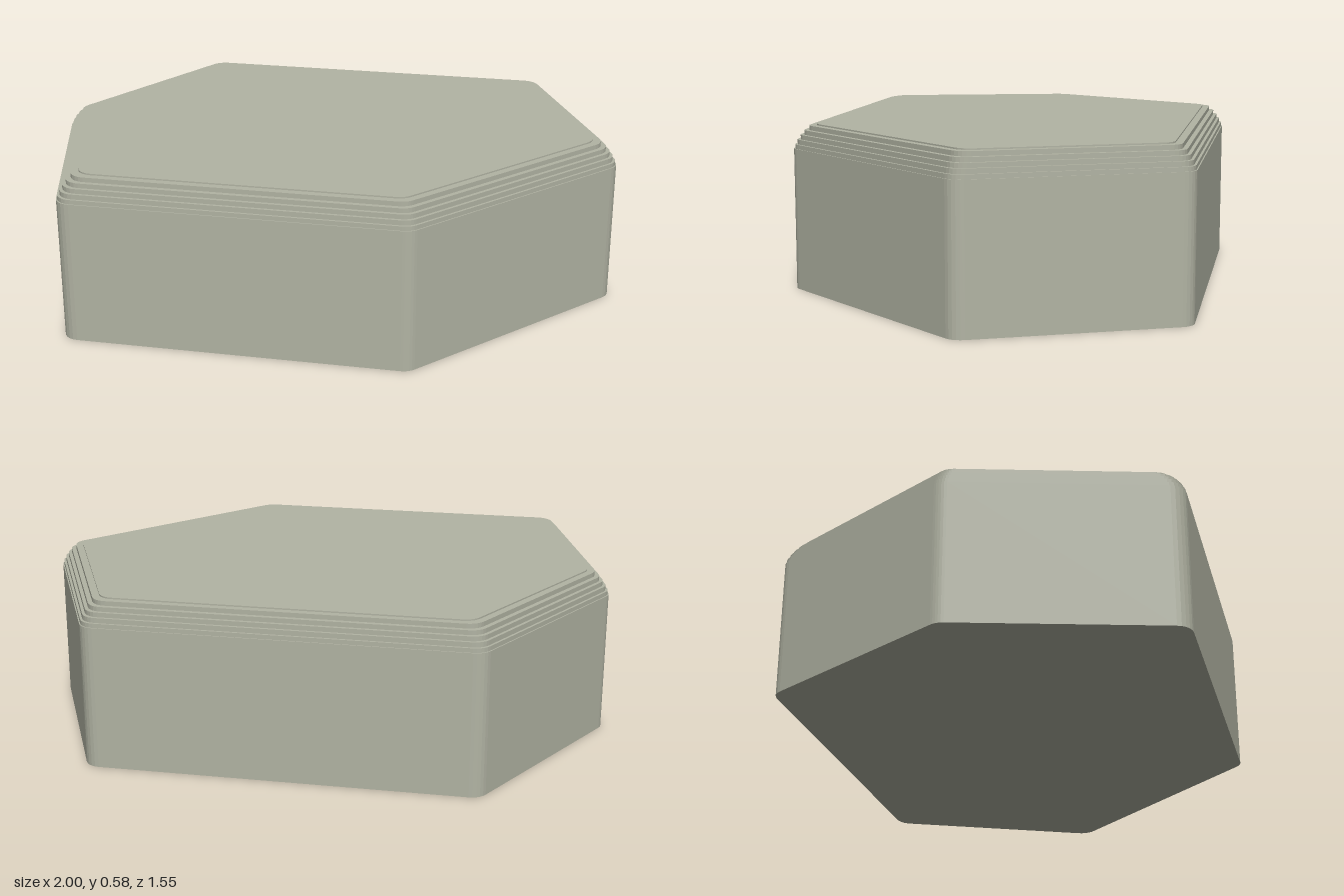
import * as THREE from 'three';

// Corners of the irregular hexagon as (x, z), clockwise seen from above
const CORNERS = [
  [-0.545, -0.78], [0.78, -0.61], [1.01, 0.14],
  [0.296, 0.777], [-0.883, 0.625], [-1.005, -0.145],
].map(([x, z]) => new THREE.Vector2(x, z));

const ROUNDING = 0.06;

// Hexagon with every edge moved inwards and its corners rounded
function outline(inset) {
  const n = CORNERS.length;
  const points = [];
  for (let i = 0; i < n; i++) {
    const corner = CORNERS[i];
    const d0 = corner.clone().sub(CORNERS[(i + n - 1) % n]).normalize();
    const d1 = CORNERS[(i + 1) % n].clone().sub(corner).normalize();
    const a0 = Math.atan2(-d0.x, d0.y); // outward normal is (dz, -dx)
    const turn = Math.acos(d0.dot(d1));
    const reach = (inset + ROUNDING) / Math.cos(turn / 2);
    const mid = a0 + turn / 2;
    const cx = corner.x - Math.cos(mid) * reach;
    const cz = corner.y - Math.sin(mid) * reach;
    const steps = 5;
    for (let k = 0; k <= steps; k++) {
      const a = a0 + turn * k / steps;
      points.push(new THREE.Vector2(cx + Math.cos(a) * ROUNDING, -(cz + Math.sin(a) * ROUNDING)));
    }
  }
  return new THREE.Shape(points);
}

export function createModel() {
  const group = new THREE.Group();
  group.name = 'hexagonalStone';
  const stone = new THREE.MeshStandardMaterial({ color: 0xb2b4a4 });
  stone.name = 'stone grey';

  function slab(name, inset, bottom, top) {
    const geometry = new THREE.ExtrudeGeometry(outline(inset), { depth: top - bottom, bevelEnabled: false });
    geometry.rotateX(-Math.PI / 2);
    geometry.translate(0, bottom, 0);
    const mesh = new THREE.Mesh(geometry, stone);
    mesh.name = name;
    group.add(mesh);
  }

  // Straight-sided body
  slab('body', 0, 0, 0.5);

  // Thin stacked slabs stepping in to round off the top edge
  const layers = [[0.004, 0.515], [0.012, 0.532], [0.022, 0.548], [0.034, 0.564], [0.05, 0.58], [0.075, 0.585]];
  let bottom = 0.5;
  layers.forEach(([inset, top], i) => {
    slab(`edgeStep${i + 1}`, inset, bottom, top);
    bottom = top;
  });
  return group;
}
